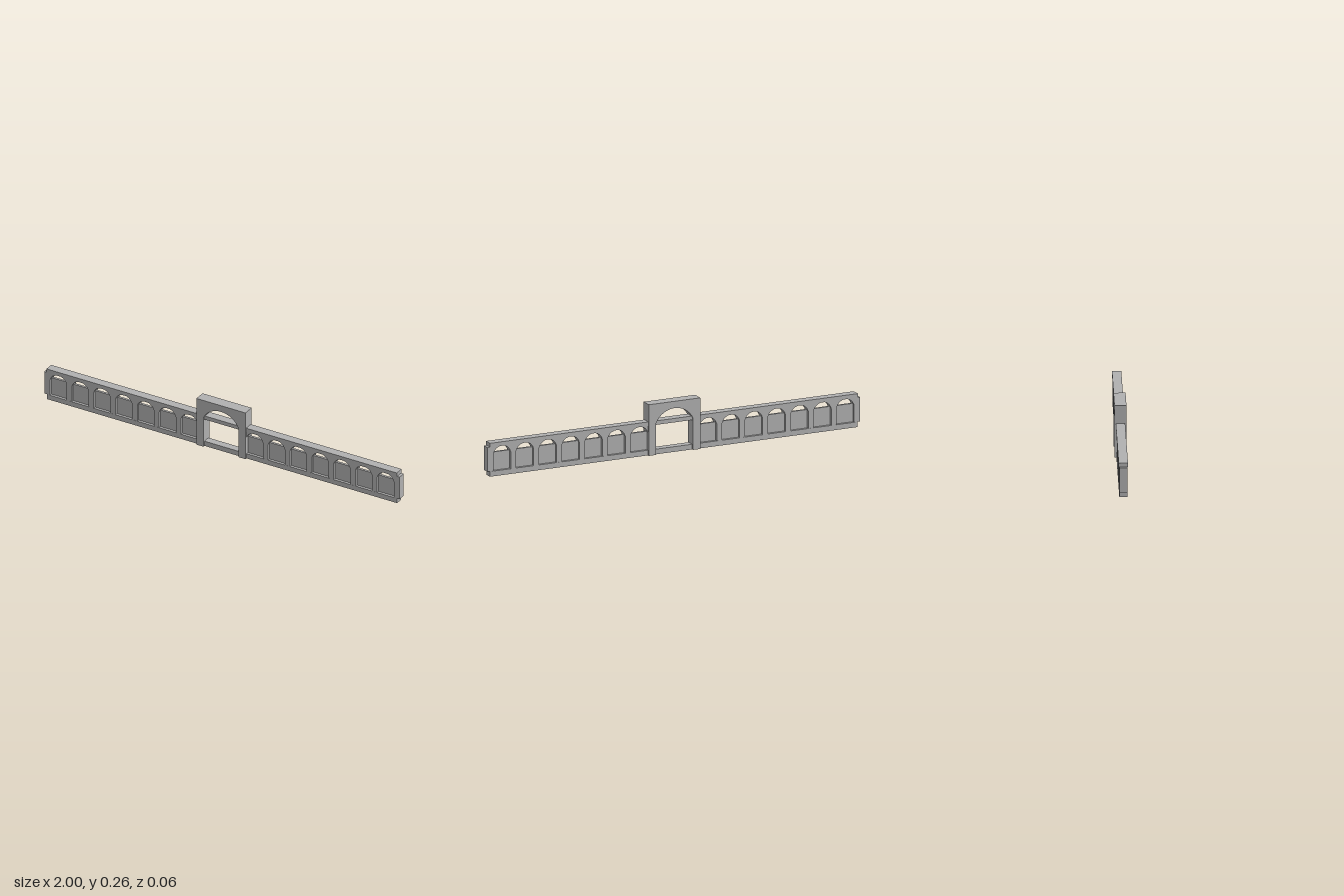
import * as THREE from 'three';

// Outline of an opening: straight jambs below a segmental arch
function archOutline(path, cx, half, bottom, spring, peak, segments) {
  const rise = peak - spring;
  const radius = (half * half + rise * rise) / (2 * rise);
  const cy = peak - radius;
  const sweep = Math.atan2(half, spring - cy);
  path.moveTo(cx - half, bottom);
  path.lineTo(cx + half, bottom);
  for (let i = 0; i <= segments; i++) {
    const a = sweep - (2 * sweep * i) / segments;
    path.lineTo(cx + radius * Math.sin(a), cy + radius * Math.cos(a));
  }
  path.closePath();
  return path;
}

function rectShape(x0, x1, y0, y1) {
  const s = new THREE.Shape();
  s.moveTo(x0, y0);
  s.lineTo(x1, y0);
  s.lineTo(x1, y1);
  s.lineTo(x0, y1);
  s.closePath();
  return s;
}

export function createModel() {
  const group = new THREE.Group();
  const stone = new THREE.MeshStandardMaterial({ color: 0xb0b0b0 });
  stone.name = 'grey stone';

  const add = (name, geometry) => {
    const mesh = new THREE.Mesh(geometry, stone);
    mesh.name = name;
    group.add(mesh);
    return mesh;
  };
  const box = (name, w, h, d, x, y) =>
    add(name, new THREE.BoxGeometry(w, h, d)).position.set(x, y + h / 2, 0);
  const slab = (name, shape, depth) =>
    add(name, new THREE.ExtrudeGeometry(shape, { depth, bevelEnabled: false }))
      .position.set(0, 0, -depth / 2);

  // Continuous plinth and top rail, both crossing the gateway
  box('plinth', 1.972, 0.026, 0.039, 0, 0);
  box('topRail', 1.972, 0.02, 0.045, 0, 0.149);

  // Arcaded wings with recessed panels, mirrored about the gateway
  for (const side of [-1, 1]) {
    const inner = side * 0.11, outer = side * 0.984;
    const wall = rectShape(Math.min(inner, outer), Math.max(inner, outer), 0.01, 0.16);
    for (let i = 0; i < 7; i++) {
      const x = side * (0.184 + i * 0.1228);
      wall.holes.push(archOutline(new THREE.Path(), x, 0.047, 0.024, 0.112, 0.1485, 10));
      box('recessedPanel', 0.096, 0.095, 0.012, x, 0.023);
    }
    slab('arcadeWall', wall, 0.038);
    box('endPost', 0.018, 0.122, 0.038, side * 0.991, 0.0265);
  }

  // Taller central gateway, open at the foot
  const gate = new THREE.Shape();
  gate.moveTo(-0.138, 0);
  gate.lineTo(-0.099, 0);
  const arch = archOutline(new THREE.Path(), 0, 0.099, 0, 0.16, 0.223, 16).getPoints();
  arch.slice(2, 19).reverse().forEach((p) => gate.lineTo(p.x, p.y));
  gate.lineTo(0.099, 0);
  gate.lineTo(0.138, 0);
  gate.lineTo(0.138, 0.257);
  gate.lineTo(-0.138, 0.257);
  gate.closePath();
  slab('gateway', gate, 0.058);

  return group;
}
